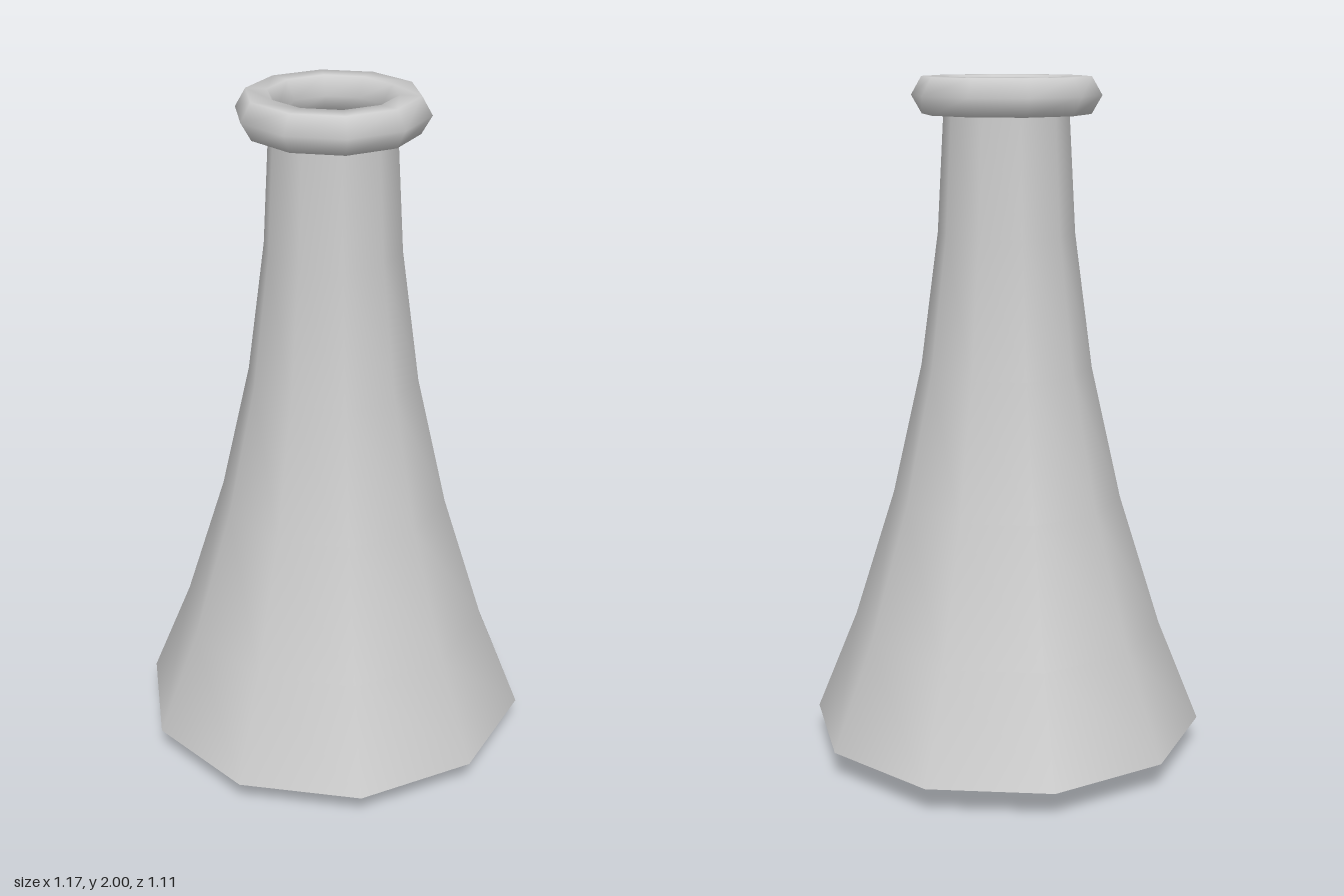
import * as THREE from 'three';

const SIDES = 10;
const material = new THREE.MeshStandardMaterial({ color: 0xcccccc, side: THREE.DoubleSide });

// Ten-sided turned part with a corner on the +x axis
function turned(name, profile) {
  const points = profile.map(([r, y]) => new THREE.Vector2(r, y));
  const geometry = new THREE.LatheGeometry(points, SIDES).rotateY(Math.PI / 2);
  const mesh = new THREE.Mesh(geometry, material);
  mesh.name = name;
  return mesh;
}

export function createModel() {
  const model = new THREE.Group();
  model.name = 'flask';

  // Shallow pointed underside, separate so the bottom edge stays sharp
  model.add(turned('underside', [[0, 0], [0.583, 0.085]]));

  // Flared wall narrowing into an open neck
  model.add(turned('body', [
    [0.583, 0.085], [0.46, 0.39], [0.338, 0.78],
    [0.25, 1.17], [0.198, 1.56], [0.177, 1.94],
  ]));

  // Rolled lip around the mouth
  const lip = new THREE.Mesh(new THREE.TorusGeometry(0.211, 0.06, 6, SIDES).rotateX(Math.PI / 2), material);
  lip.name = 'lip';
  lip.position.y = 1.948;
  model.add(lip);

  return model;
}
